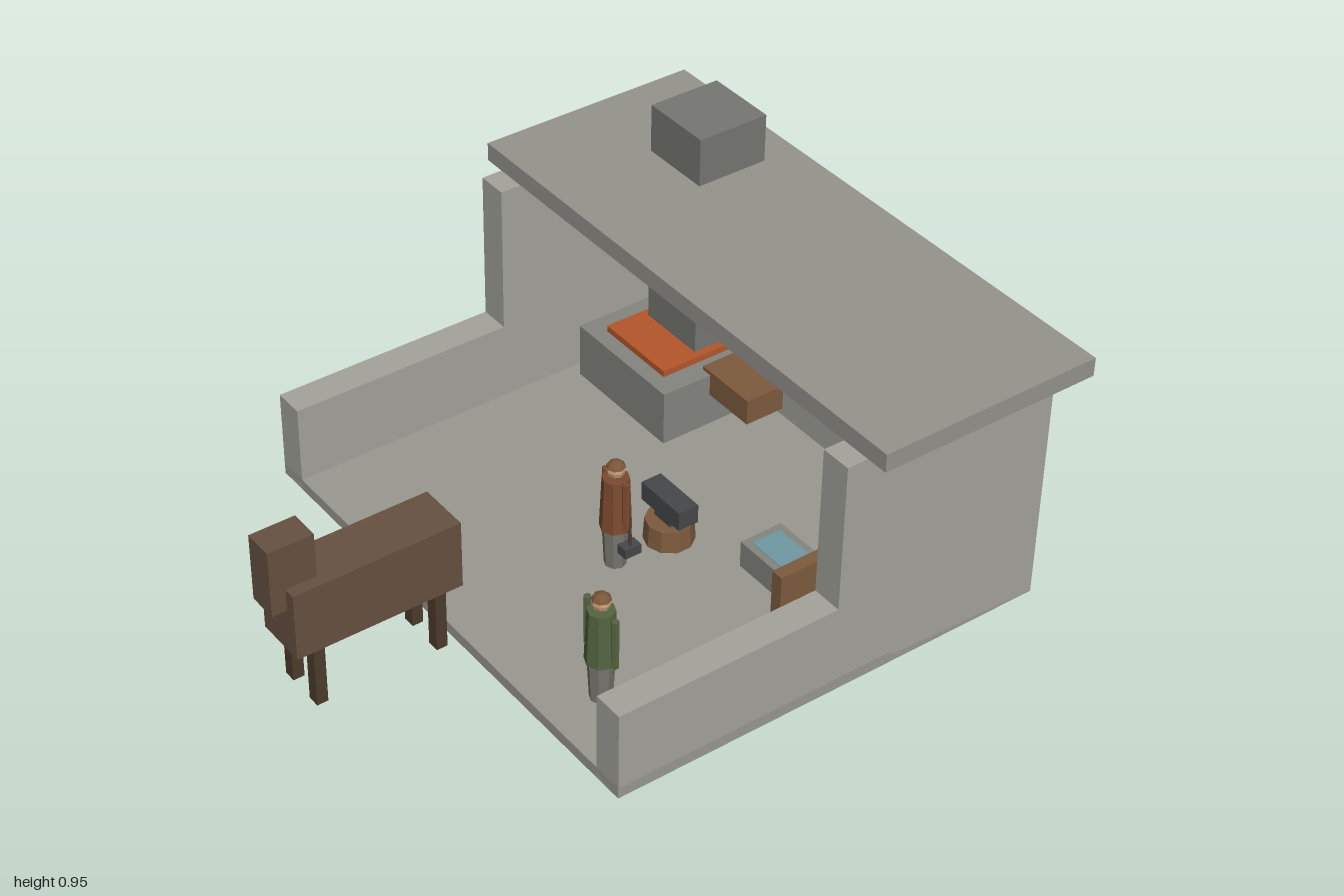
import * as THREE from 'three';

const mat = (color) => new THREE.MeshStandardMaterial({ color, flatShading: true, side: THREE.DoubleSide });
const M = {
  wall: mat(0xa3a29b), floor: mat(0x989790), roof: mat(0x94938c), stone: mat(0x84857f),
  chimney: mat(0x767772), ember: mat(0xb5562a), wood: mat(0x7d5b3d), horse: mat(0x665140),
  leg: mat(0x4e3b2d), iron: mat(0x45474a), water: mat(0x6f98a3), skin: mat(0xc49a76),
  hair: mat(0x7a5638), trousers: mat(0x77756e), rust: mat(0x7c4a30), green: mat(0x536440),
};

function add(parent, name, geometry, material, x = 0, y = 0, z = 0) {
  const mesh = new THREE.Mesh(geometry, material);
  mesh.name = name;
  mesh.position.set(x, y, z);
  parent.add(mesh);
  return mesh;
}

// Box given by its limits on each axis
function box(parent, name, material, [x0, x1], [y0, y1], [z0, z1]) {
  return add(parent, name, new THREE.BoxGeometry(x1 - x0, y1 - y0, z1 - z0), material,
    (x0 + x1) / 2, (y0 + y1) / 2, (z0 + z1) / 2);
}

// Box standing on the ground, without its bottom face
function openBox(parent, name, material, xs, top, zs) {
  const mesh = box(parent, name, material, xs, [0, top], zs);
  const g = mesh.geometry;
  const index = Array.from(g.index.array);
  index.splice(18, 6);
  g.setIndex(index);
  return mesh;
}

// Round part standing on the ground, closed on top only
function openRound(parent, name, material, r0, r1, height, sides) {
  const profile = [[r0, 0], [r1, height], [0, height]].map(([r, y]) => new THREE.Vector2(r, y));
  return add(parent, name, new THREE.LatheGeometry(profile, sides), material);
}

function group(parent, name, x = 0, z = 0) {
  const g = new THREE.Group();
  g.name = name;
  g.position.set(x, 0, z);
  parent.add(g);
  return g;
}

function person(parent, name, tunic, x, z, armX) {
  const p = group(parent, name, x, z);
  openRound(p, 'legs', M.trousers, 0.03, 0.04, 0.19, 8);
  add(p, 'tunic', new THREE.CylinderGeometry(0.039, 0.046, 0.17, 8), tunic, 0, 0.25, 0);
  for (const s of [-1, 1])
    add(p, 'arm', new THREE.CylinderGeometry(0.011, 0.011, 0.155, 6), tunic, s * armX, 0.26, 0);
  add(p, 'head', new THREE.SphereGeometry(0.027, 8, 6), M.skin, 0, 0.36, 0);
  add(p, 'hair', new THREE.SphereGeometry(0.03, 8, 4, 0, Math.PI * 2, 0, 1.2), M.hair, 0, 0.36, 0);
  return p;
}

export function createModel() {
  const root = new THREE.Group();
  root.name = 'smithy';

  // Building shell: everything on the ground is hollow underneath
  const shell = group(root, 'building');
  openBox(shell, 'floor', M.floor, [-0.815, 0.815], 0.035, [-0.93, 0.465]);
  openBox(shell, 'backWall', M.wall, [-0.72, 0.72], 0.745, [-0.93, -0.84]);
  for (const s of [-1, 1]) {
    const xs = s > 0 ? [0.72, 0.815] : [-0.815, -0.72];
    openBox(shell, 'sideWall', M.wall, xs, 0.745, [-0.93, -0.235]);
    openBox(shell, 'yardWall', M.wall, xs, 0.28, [-0.235, 0.465]);
  }
  box(shell, 'roof', M.roof, [-0.883, 0.883], [0.745, 0.802], [-1, -0.3]);

  // Forge, embers, chimney and bellows
  const forge = group(root, 'forge');
  openBox(forge, 'hearth', M.stone, [-0.677, -0.26], 0.21, [-0.84, -0.475]);
  box(forge, 'embers', M.ember, [-0.608, -0.33], [0.21, 0.23], [-0.77, -0.525]);
  box(forge, 'chimney', M.chimney, [-0.582, -0.354], [0.21, 0.953], [-0.885, -0.655]);
  box(forge, 'bellows', M.wood, [-0.295, -0.085], [0.14, 0.222], [-0.77, -0.64]);

  // Anvil on its stump
  const anvil = group(root, 'anvil', 0.09, -0.235);
  openRound(anvil, 'stump', M.wood, 0.076, 0.07, 0.105, 10);
  box(anvil, 'anvilWaist', M.iron, [-0.035, 0.035], [0.105, 0.13], [-0.025, 0.025]);
  box(anvil, 'anvilBlock', M.iron, [-0.087, 0.086], [0.13, 0.19], [-0.033, 0.033]);

  // Quenching trough with water at the brim
  const trough = group(root, 'trough');
  openBox(trough, 'basin', M.stone, [0.302, 0.58], 0.12, [-0.46, -0.32]);
  box(trough, 'water', M.water, [0.325, 0.557], [0.1, 0.122], [-0.438, -0.342]);

  // Tool board against the wall
  openBox(root, 'toolBoard', M.wood, [0.68, 0.718], 0.375, [-0.61, -0.12]);

  // Smith with hammer, and customer
  const smith = person(root, 'smith', M.rust, 0.09, -0.05, 0.046);
  const handle = add(smith, 'hammerHandle', new THREE.CylinderGeometry(0.006, 0.006, 0.15, 6), M.leg, 0.05, 0.19, -0.01);
  handle.rotation.z = 0.1;
  box(smith, 'hammerHead', M.iron, [0.034, 0.072], [0.1, 0.13], [-0.036, 0.018]);
  person(root, 'customer', M.green, 0.51, 0.3, 0.062);

  // Horse waiting in front
  const horse = group(root, 'horse');
  box(horse, 'body', M.horse, [-0.082, 0.08], [0.187, 0.4], [0.443, 0.955]);
  box(horse, 'head', M.horse, [-0.047, 0.045], [0.33, 0.54], [0.862, 1]);
  for (const x of [-0.061, 0.059]) for (const z of [0.513, 0.888])
    box(horse, 'leg', M.leg, [x - 0.019, x + 0.019], [0, 0.187], [z - 0.017, z + 0.017]);

  return root;
}
